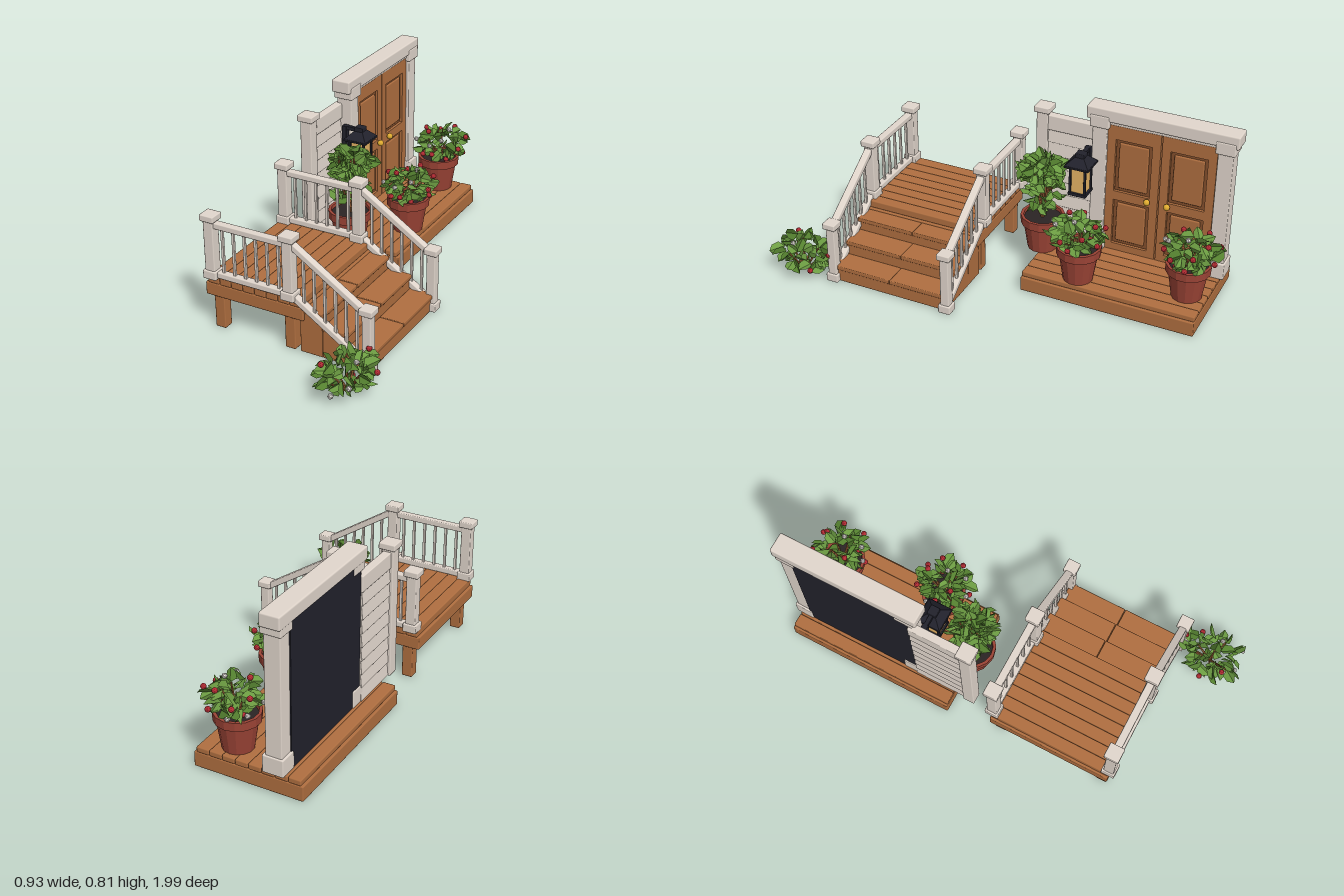
import * as THREE from 'three';
import { RoundedBoxGeometry } from 'three/addons/geometries/RoundedBoxGeometry.js';
import { mergeGeometries } from 'three/addons/utils/BufferGeometryUtils.js';

const mat = (color, extra = {}) => new THREE.MeshStandardMaterial({ color, ...extra });
const flat = { flatShading: true };
const leafy = { flatShading: true, side: THREE.DoubleSide };
const M = {
  wood: mat(0xb06f40), darkWood: mat(0x85502c), white: mat(0xe2d7cd), dark: mat(0x22222c),
  glass: mat(0xe8b565), gold: mat(0xe0ac30), pot: mat(0x9c4436, flat), soil: mat(0x2b2424),
  stem: mat(0x9a6238, flat), leaf: mat(0x6c9c42, leafy), leafDark: mat(0x54802f, leafy),
  red: mat(0xb02a32, flat), flower: mat(0xe4dfd9, flat),
};

let seed = 7;
const rnd = () => (seed = (seed * 16807) % 2147483647) / 2147483647;
const range = (a, b) => a + (b - a) * rnd();

function add(parent, name, geo, material, x = 0, y = 0, z = 0) {
  const m = new THREE.Mesh(geo, material);
  m.name = name;
  m.position.set(x, y, z);
  parent.add(m);
  return m;
}

// Softly bevelled box given by its limits on each axis
function box(parent, name, material, [x0, x1], [y0, y1], [z0, z1], r = 0.005) {
  const w = x1 - x0, h = y1 - y0, d = z1 - z0;
  const geo = new RoundedBoxGeometry(w, h, d, 1, Math.min(r, w / 3, h / 3, d / 3));
  return add(parent, name, geo, material, (x0 + x1) / 2, (y0 + y1) / 2, (z0 + z1) / 2);
}
const around = (c, w) => [c - w / 2, c + w / 2];

function group(parent, name) {
  const g = new THREE.Group();
  g.name = name;
  parent.add(g);
  return g;
}

// Solid frame with a row of planks on top
function platform(parent, name, [x0, x1], [y0, y1, y2], z) {
  const g = group(parent, name);
  box(g, 'frame', M.wood, [x0, x1], [y0, y1], z);
  const n = 8, w = (x1 - x0 - 0.02) / n;
  for (let i = 0; i < n; i++) {
    const a = x0 + 0.01 + i * w;
    box(g, 'plank', M.wood, [a + 0.001, a + w - 0.001], [y1 - 0.002, y2], [z[0] + 0.002, z[1] - 0.002], 0.006);
  }
  return g;
}

// Square post with cap and optional base block
function post(parent, name, x, z, y0, y1, w = 0.048, base = true) {
  const g = group(parent, name);
  box(g, 'shaft', M.white, around(x, w), [y0, y1 - 0.02], around(z, w));
  if (base) box(g, 'base', M.white, around(x, w + 0.016), [y0, y0 + 0.04], around(z, w + 0.016));
  box(g, 'cap', M.white, around(x, w + 0.02), [y1 - 0.03, y1], around(z, w + 0.02), 0.005);
}

// Rail between two points in a plane of constant z
function bar(parent, name, xa, ya, xb, yb, z) {
  const geo = new RoundedBoxGeometry(Math.hypot(xb - xa, yb - ya), 0.028, 0.034, 1, 0.005);
  add(parent, name, geo, M.white, (xa + xb) / 2, (ya + yb) / 2, z).rotation.z = Math.atan2(yb - ya, xb - xa);
}

function railing(parent, z) {
  const g = group(parent, 'railing');
  post(g, 'cornerPost', -0.412, z, 0.245, 0.545);
  post(g, 'topStairPost', -0.032, z, 0.245, 0.545);
  post(g, 'bottomStairPost', 0.333, z, 0, 0.305, 0.042);
  const spans = [[-0.41, 0.497, -0.03, 0.497, 0.266, 0.266], [-0.015, 0.497, 0.33, 0.272, 0.262, 0.035]];
  for (const [xa, ya, xb, yb, la, lb] of spans) {
    bar(g, 'topRail', xa, ya, xb, yb, z);
    bar(g, 'bottomRail', xa, la, xb, lb, z);
    for (let i = 1; i <= 6; i++) {
      const t = i / 7, y0 = la + (lb - la) * t, y1 = ya + (yb - ya) * t;
      box(g, 'baluster', M.white, around(xa + (xb - xa) * t, 0.012), [y0, y1], around(z, 0.012), 0.002);
    }
  }
}

function rectPath(Type, u0, u1, v0, v1) {
  return new Type([[u0, v0], [u1, v0], [u1, v1], [u0, v1]].map(p => new THREE.Vector2(...p)));
}

// One door leaf with two recessed panels, facing +x
function doorLeaf(parent, zc, knobSide) {
  const g = group(parent, 'doorLeaf');
  const shape = rectPath(THREE.Shape, -0.124, 0.124, 0.095, 0.735);
  const panels = [[0.13, 0.36], [0.405, 0.665]];
  for (const [a, b] of panels) {
    shape.holes.push(rectPath(THREE.Path, -0.085, 0.085, a, b));
    box(g, 'panelMolding', M.darkWood, [-0.34, -0.322], [a, b], around(zc, 0.17), 0.002);
    box(g, 'raisedPanel', M.wood, [-0.335, -0.314], [a + 0.016, b - 0.016], around(zc, 0.138), 0.006);
  }
  const geo = new THREE.ExtrudeGeometry(shape, { depth: 0.04, bevelEnabled: false }).rotateY(Math.PI / 2);
  add(g, 'doorFrame', geo, M.wood, -0.35, 0, zc);
  add(g, 'knob', new THREE.SphereGeometry(0.015, 12, 8), M.gold, -0.291, 0.395, zc + knobSide * 0.08);
}

function doorway(parent) {
  const g = group(parent, 'doorway');
  for (const z of [-0.336, -0.91]) {
    box(g, 'doorPost', M.white, [-0.372, -0.297], [0.095, 0.75], around(z, 0.07));
    box(g, 'postBase', M.white, [-0.382, -0.285], [0.095, 0.175], around(z, 0.086));
    box(g, 'postCap', M.white, [-0.382, -0.287], [0.715, 0.775], around(z, 0.09), 0.006);
  }
  box(g, 'lintel', M.white, [-0.384, -0.291], [0.75, 0.812], [-0.968, -0.272], 0.008);
  box(g, 'headBoard', M.white, [-0.365, -0.305], [0.733, 0.76], [-0.9, -0.345]);
  box(g, 'backPanel', M.dark, [-0.377, -0.348], [0.095, 0.752], [-0.878, -0.318], 0.001);
  doorLeaf(g, -0.494, -1);
  doorLeaf(g, -0.748, 1);
}

function sidingWall(parent) {
  const g = group(parent, 'sidingWall');
  post(g, 'wallPost', -0.368, -0.04, 0.095, 0.73, 0.056, false);
  box(g, 'core', M.white, [-0.375, -0.36], [0.095, 0.62], [-0.315, -0.05]);
  box(g, 'topBeam', M.white, [-0.386, -0.347], [0.615, 0.69], [-0.318, -0.05]);
  for (let i = 0; i < 8; i++) {
    const y = 0.097 + i * 0.065;
    for (const s of [-1, 1]) {
      const b = box(g, 'board', M.white, around(-0.3675 + s * 0.009, 0.012), [y, y + 0.068], [-0.315, -0.05], 0.002);
      b.rotation.z = s * 0.1;
    }
  }
}

function lantern(parent, x, z) {
  const g = group(parent, 'lantern');
  box(g, 'bracketPlate', M.dark, [-0.328, -0.303], [0.47, 0.597], around(z, 0.028), 0.003);
  box(g, 'bracketArm', M.dark, [-0.328, x], [0.578, 0.597], around(z, 0.02), 0.003);
  box(g, 'glass', M.glass, around(x, 0.066), [0.41, 0.55], around(z, 0.066), 0.002);
  box(g, 'floor', M.dark, around(x, 0.086), [0.4, 0.416], around(z, 0.086), 0.003);
  for (const i of [-1, 1]) for (const j of [-1, 1])
    box(g, 'frameBar', M.dark, around(x + i * 0.035, 0.011), [0.405, 0.55], around(z + j * 0.035, 0.011), 0.002);
  box(g, 'eave', M.dark, around(x, 0.118), [0.543, 0.553], around(z, 0.118), 0.003);
  const roof = new THREE.CylinderGeometry(0.028, 0.08, 0.036, 4, 1).rotateY(Math.PI / 4).toNonIndexed();
  roof.computeVertexNormals();
  add(g, 'roof', roof, M.dark, x, 0.57, z);
  box(g, 'finial', M.dark, around(x, 0.044), [0.584, 0.606], around(z, 0.044), 0.004);
}

// Folded oval leaf starting at p and growing along dir
function leaf(p, dir, len, width) {
  const h = len * 0.28, k = len * 0.72, f = width * 0.25;
  const geo = new THREE.BufferGeometry();
  geo.setAttribute('position', new THREE.Float32BufferAttribute([
    0, 0, 0, -width / 2, h, f, -width * 0.43, k, f * 0.6, 0, len, -f * 0.5,
    width * 0.43, k, f * 0.6, width / 2, h, f, 0, len * 0.5, -f * 0.3], 3));
  geo.setIndex([0, 6, 1, 1, 6, 2, 2, 6, 3, 3, 6, 4, 4, 6, 5, 5, 6, 0]);
  const q = new THREE.Quaternion().setFromUnitVectors(new THREE.Vector3(0, 1, 0), dir);
  geo.rotateY(range(0, 6.28)).applyQuaternion(q).translate(p.x, p.y, p.z);
  return geo;
}

function branch(a, b, r) {
  const d = b.clone().sub(a), len = d.length();
  const q = new THREE.Quaternion().setFromUnitVectors(new THREE.Vector3(0, 1, 0), d.normalize());
  const geo = new THREE.CylinderGeometry(r * 0.6, r, len, 5).translate(0, len / 2, 0);
  return geo.applyQuaternion(q).translate(a.x, a.y, a.z);
}

// Leaves spread over an ellipsoid of radii r, branches from a root, optional berries and blossoms
function foliage(parent, name, root, c, r, count, size, berries = 0) {
  const g = group(parent, name), sets = [[], []], stems = [];
  const spot = (i, n, k) => {
    const v = 1 - 2 * (i + 0.5) / n, a = i * 2.4 + range(-0.3, 0.3), s = Math.sqrt(1 - v * v);
    return new THREE.Vector3(Math.cos(a) * s, v, Math.sin(a) * s).multiply(r).multiplyScalar(k);
  };
  for (let i = 0; i < count; i++) {
    const o = spot(i, count, range(0.5, 0.8)), p = o.clone().add(c), n = o.divide(r);
    const dir = new THREE.Vector3(n.x + range(-0.5, 0.5), n.y * 0.4 + range(-0.4, 0.25), n.z + range(-0.5, 0.5)).normalize();
    const l = size * range(0.8, 1.1);
    sets[i % 3 ? 0 : 1].push(leaf(p.addScaledVector(dir, -l * 0.3), dir, l, l * 0.72));
    if (i % 7 === 0) stems.push(branch(root, p, 0.006));
  }
  add(g, 'leaves', mergeGeometries(sets[0]), M.leaf);
  add(g, 'shadedLeaves', mergeGeometries(sets[1]), M.leafDark);
  add(g, 'branches', mergeGeometries(stems), M.stem);
  for (let i = 0; i < berries; i++) {
    const p = spot(i, berries, 0.92).add(c), bloom = i % 3 === 0;
    add(g, bloom ? 'blossom' : 'berry', new THREE.IcosahedronGeometry(0.013, bloom ? 0 : 1), bloom ? M.flower : M.red, p.x, p.y, p.z);
  }
}

function pot(parent, x, z) {
  const profile = [[0, 0], [0.068, 0], [0.088, 0.13], [0.1, 0.13], [0.102, 0.17], [0.088, 0.17], [0.084, 0.145]];
  const geo = new THREE.LatheGeometry(profile.map(p => new THREE.Vector2(...p)), 14);
  add(parent, 'pot', geo, M.pot, x, 0.096, z);
  add(parent, 'soil', new THREE.CylinderGeometry(0.087, 0.087, 0.01, 14), M.soil, x, 0.246, z);
}

export function createModel() {
  seed = 7;
  const model = new THREE.Group();
  model.name = 'porch';
  const V = (x, y, z) => new THREE.Vector3(x, y, z);

  // Raised deck on legs
  const deck = platform(model, 'raisedDeck', [-0.45, 0.03], [0.155, 0.215, 0.25], [0.1, 0.685]);
  for (const x of [-0.391, -0.041]) for (const z of [0.135, 0.65])
    box(deck, 'leg', M.wood, around(x, 0.05), [0, 0.16], around(z, 0.05));

  // Stairs: solid steps with paired tread boards, and a railing on each side
  const stairs = group(model, 'stairs');
  for (const [x0, x1, y] of [[0.008, 0.115, 0.208], [0.115, 0.228, 0.147], [0.228, 0.337, 0.08]]) {
    box(stairs, 'step', M.wood, [x0, x1], [0, y - 0.018], [0.107, 0.673], 0.003);
    for (const z of [[0.105, 0.389], [0.391, 0.675]])
      box(stairs, 'tread', M.wood, [x0, x1 + 0.006], [y - 0.02, y], z, 0.004);
  }
  for (const z of [0.105, 0.678]) railing(model, z);

  // Low platform with doorway, siding and lantern
  platform(model, 'doorPlatform', [-0.46, 0.047], [0, 0.07, 0.095], [-0.935, -0.118]);
  doorway(model);
  sidingWall(model);
  lantern(model, -0.236, -0.278);

  // Potted plants and a ground bush
  for (const [x, z] of [[-0.2, -0.115], [-0.03, -0.365], [-0.11, -0.845]]) pot(model, x, z);
  foliage(model, 'topiaryCrown', V(-0.2, 0.245, -0.115), V(-0.195, 0.505, -0.115), V(0.112, 0.07, 0.112), 85, 0.07);
  foliage(model, 'topiaryLowerLeaves', V(-0.2, 0.245, -0.115), V(-0.2, 0.38, -0.115), V(0.105, 0.11, 0.095), 30, 0.07);
  foliage(model, 'floweringPlant', V(-0.03, 0.245, -0.365), V(-0.022, 0.335, -0.36), V(0.13, 0.085, 0.138), 60, 0.07, 18);
  foliage(model, 'floweringPlant', V(-0.11, 0.245, -0.845), V(-0.1, 0.335, -0.855), V(0.142, 0.085, 0.138), 60, 0.07, 18);
  foliage(model, 'groundBush', V(0.33, 0.005, 0.84), V(0.325, 0.1, 0.84), V(0.13, 0.085, 0.172), 58, 0.07, 8);
  return model;
}
